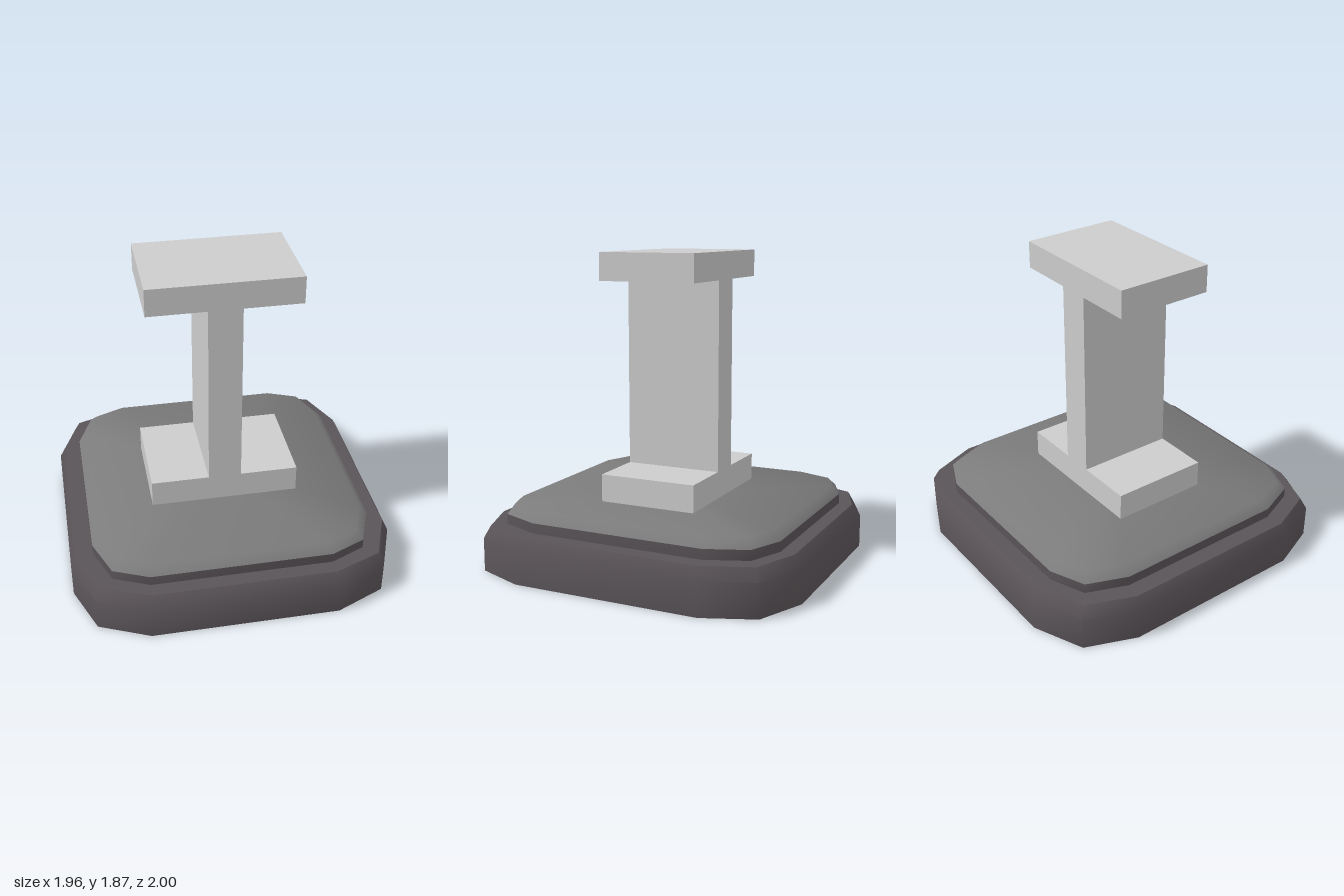
import * as THREE from 'three';
import { toCreasedNormals } from 'three/addons/utils/BufferGeometryUtils.js';

const mat = (name, color, side = THREE.FrontSide) => {
  const m = new THREE.MeshStandardMaterial({ color, side });
  m.name = name;
  return m;
};

// Twelve-sided footprint from one quadrant's three corners, mirrored around
function outline(corners) {
  const back = [...corners].reverse();
  return [
    ...corners,
    ...back.map(([x, z]) => [-x, z]),
    ...corners.map(([x, z]) => [-x, -z]),
    ...back.map(([x, z]) => [x, -z]),
  ];
}

// Skin between stacked rings { y, pts }, with an optional flat cap on the last
function skin(rings, cap) {
  const pos = [], index = [], n = rings[0].pts.length;
  for (const { y, pts } of rings) for (const [x, z] of pts) pos.push(x, y, z);
  for (let r = 0; r < rings.length - 1; r++) {
    for (let i = 0; i < n; i++) {
      const a = r * n + i, b = r * n + (i + 1) % n;
      index.push(a, a + n, b, b, a + n, b + n);
    }
  }
  if (cap) {
    const start = (rings.length - 1) * n, centre = pos.length / 3;
    pos.push(0, rings[rings.length - 1].y, 0);
    for (let i = 0; i < n; i++) index.push(start + i, centre, start + (i + 1) % n);
  }
  const g = new THREE.BufferGeometry();
  g.setAttribute('position', new THREE.Float32BufferAttribute(pos, 3));
  g.setIndex(index);
  return toCreasedNormals(g, 0.9);
}

export function createModel() {
  const model = new THREE.Group();
  model.name = 'beamOnPlinth';
  const darkBase = mat('darkBase', 0x5a5458, THREE.DoubleSide);
  const greyPlate = mat('greyPlate', 0x7b7b7b, THREE.DoubleSide);
  const lightGrey = mat('lightGrey', 0xcccccc);

  const add = (name, geometry, material) => {
    const mesh = new THREE.Mesh(geometry, material);
    mesh.name = name;
    model.add(mesh);
  };

  const foot = outline([[0.98, 0.57], [0.86, 0.87], [0.56, 1]]);
  const shoulder = outline([[0.945, 0.555], [0.83, 0.84], [0.545, 0.95]]);
  const step = outline([[0.845, 0.535], [0.75, 0.775], [0.54, 0.865]]);
  const top = outline([[0.795, 0.52], [0.715, 0.735], [0.525, 0.815]]);

  // Hollow base, open underneath: wall, bevel, ledge and short upper wall
  add('base', skin([
    { y: 0, pts: foot },
    { y: 0.2, pts: foot },
    { y: 0.27, pts: shoulder },
    { y: 0.27, pts: step },
    { y: 0.33, pts: step },
  ]), darkBase);

  // Bevelled plate closing the base
  add('topPlate', skin([{ y: 0.33, pts: step }, { y: 0.38, pts: top }], true), greyPlate);

  // Upright beam with flanges, resting just above the plate
  const half = [[0.45, 0.39], [0.45, 0.555], [0.1, 0.555], [0.1, 1.7], [0.45, 1.7], [0.45, 1.865]];
  const profile = [...half, ...[...half].reverse().map(([x, y]) => [-x, y])];
  const beam = new THREE.ExtrudeGeometry(
    new THREE.Shape(profile.map(([x, y]) => new THREE.Vector2(x, y))),
    { depth: 0.6, bevelEnabled: false },
  );
  beam.translate(0, 0, -0.3);
  add('beam', beam, lightGrey);

  return model;
}
